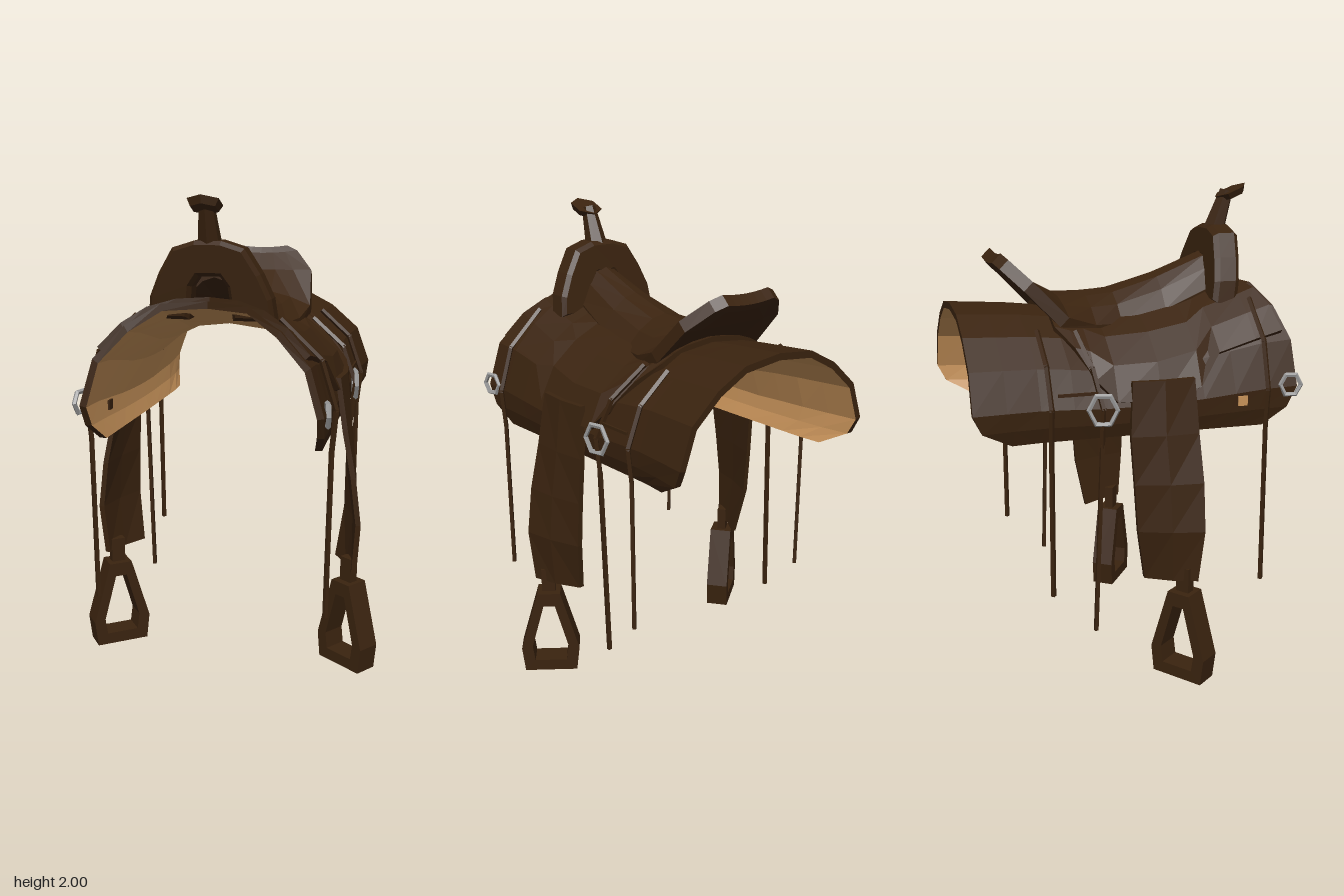
import * as THREE from 'three';

const leather = new THREE.MeshStandardMaterial({ color: 0x3a230f });
leather.name = 'darkLeather';
const lining = new THREE.MeshStandardMaterial({ color: 0xc8935a });
lining.name = 'tanLining';
const steel = new THREE.MeshStandardMaterial({ color: 0x9c9c9c });
steel.name = 'steel';

const lerp = THREE.MathUtils.lerp;
const V = (x, y, z) => new THREE.Vector3(x, y, z);

// Piecewise-linear lookup in [[key, value], ...]
function table(rows, k) {
  if (k <= rows[0][0]) return rows[0][1];
  for (let i = 1; i < rows.length; i++) {
    const [a, b] = [rows[i - 1], rows[i]];
    if (k <= b[0]) return lerp(a[1], b[1], (k - a[0]) / (b[0] - a[0]));
  }
  return rows[rows.length - 1][1];
}
const pick = (list, s) => table(list.map((v, i) => [i, v]), Math.abs(s));

function mesh(name, geo, mat) {
  const flat = geo.index ? geo.toNonIndexed() : geo;
  flat.computeVertexNormals();
  const m = new THREE.Mesh(flat, mat);
  m.name = name;
  return m;
}

// Closed sheet with thickness: f(i, j, layer) gives points, layer 0 outside, 1 inside
function shell(name, nu, nv, f, mats) {
  const pos = [];
  const quad = (a, b, c, d) => [a, b, c, a, c, d].forEach((p) => pos.push(p.x, p.y, p.z));
  const face = (k) => {
    for (let i = 0; i < nu; i++) for (let j = 0; j < nv; j++) {
      const q = [f(i, j, k), f(i, j + 1, k), f(i + 1, j + 1, k), f(i + 1, j, k)];
      if (k) q.reverse();
      quad(...q);
    }
  };
  const rim = (i, j, m, n) => quad(f(m, n, 0), f(i, j, 0), f(i, j, 1), f(m, n, 1));
  face(0);
  for (let j = 0; j < nv; j++) { rim(0, j, 0, j + 1); rim(nu, j + 1, nu, j); }
  for (let i = 0; i < nu; i++) { rim(i, nv, i + 1, nv); rim(i + 1, 0, i, 0); }
  const split = pos.length / 3;
  face(1);
  const g = new THREE.BufferGeometry();
  g.setAttribute('position', new THREE.Float32BufferAttribute(pos, 3));
  if (Array.isArray(mats)) {
    g.addGroup(0, split, 0);
    g.addGroup(split, pos.length / 3 - split, 1);
  }
  return mesh(name, g, mats);
}

// Saddle-back surface: s runs from the ridge (0) to the skirt hem (6)
const PX = [0, 0.17, 0.30, 0.42, 0.475, 0.47, 0.45];
const PH = [1, 0.96, 0.82, 0.6, 0.28, 0.13, 0];
const NX = [0, 0.2, 0.5, 0.8, 0.98, 1, 1];
const FRONT = [0.53, 0.58, 0.63, 0.66, 0.67, 0.63, 0.53];
const BACK = [-0.675, -0.675, -0.675, -0.675, -0.675, -0.64, -0.52];
const RIDGE = [[-0.68, 1.54], [-0.35, 1.52], [-0.1, 1.475], [0.2, 1.5], [0.45, 1.58], [0.58, 1.62]];
function surface(s, z, off = 0) {
  const n = pick(NX, s);
  const flare = table([[-0.65, 1.04], [-0.45, 0.98], [0, 0.98], [0.6, 1]], z);
  const x = pick(PX, s) * flare + n * off;
  const y = lerp(1.045, table(RIDGE, z), pick(PH, s)) + Math.sqrt(1 - n * n) * off;
  return V(Math.sign(s) * x, y, z);
}

// Strap of square rods through a list of points
function cord(name, pts, r = 0.011) {
  const g = new THREE.Group();
  g.name = name;
  for (let i = 1; i < pts.length; i++) {
    const d = pts[i].clone().sub(pts[i - 1]);
    const m = mesh(name + 'Piece', new THREE.CylinderGeometry(r, r, d.length() + r, 4), leather);
    m.position.copy(pts[i]).add(pts[i - 1]).multiplyScalar(0.5);
    m.quaternion.setFromUnitVectors(V(0, 1, 0), d.normalize());
    g.add(m);
  }
  return g;
}

const poly = (pts) => pts.map(([x, y]) => new THREE.Vector2(x, y));

function buildSide() {
  const side = new THREE.Group();

  // Fender, twisting outwards as it hangs: y, front z, rear z, front x, rear x
  const rows = [[1.27, 0.22, -0.04, 0.475, 0.475], [1.05, 0.23, -0.05, 0.51, 0.49],
    [0.85, 0.24, -0.035, 0.55, 0.495], [0.65, 0.24, -0.02, 0.575, 0.495], [0.43, 0.22, 0.02, 0.56, 0.465]];
  side.add(shell('fender', 2, rows.length - 1, (i, j, k) => {
    const [y, zf, zr, xf, xr] = rows[j];
    return V(lerp(xf, xr, i / 2) + (i === 1 ? 0.012 : 0) - k * 0.022, y, lerp(zf, zr, i / 2));
  }, leather));

  // Stirrup and its hanger
  const stirrup = new THREE.Group();
  stirrup.name = 'stirrup';
  const outline = new THREE.Shape(poly([[-0.115, 0], [0.115, 0], [0.128, 0.11], [0.05, 0.38], [-0.05, 0.38], [-0.128, 0.11]]));
  outline.holes.push(new THREE.Path(poly([[-0.07, 0.05], [-0.08, 0.12], [-0.025, 0.32], [0.025, 0.32], [0.08, 0.12], [0.07, 0.05]])));
  const frame = new THREE.ExtrudeGeometry(outline, { depth: 0.1, bevelEnabled: false });
  frame.translate(0, 0, -0.05);
  const hanger = mesh('stirrupHanger', new THREE.BoxGeometry(0.06, 0.17, 0.04), leather);
  hanger.position.set(0, 0.4, 0);
  stirrup.add(mesh('stirrupFrame', frame, leather), hanger);
  stirrup.position.set(0.522, 0, 0.175);
  stirrup.rotation.y = -0.644;
  side.add(stirrup);

  // Hanging strings
  const drape = (z0, z1, s0) => [s0, 3, 4].map((s, i) => surface(s, lerp(z0, z1, i / 2), 0.026));
  side.add(cord('frontString', [...drape(0.53, 0.53, 1.8), V(0.485, 1.04, 0.53), V(0.475, 0.37, 0.54)]));
  side.add(cord('middleString', [...drape(-0.22, -0.165, 1.9), V(0.475, 1.02, -0.165), V(0.465, 0.23, -0.19)]));
  side.add(cord('rearString', [...drape(-0.38, -0.37, 2), V(0.475, 1.04, -0.37), V(0.47, 0.41, -0.37)]));

  // Rigging strip and steel rings
  const strip = mesh('riggingStrip', new THREE.BoxGeometry(0.008, 0.012, 0.16), leather);
  strip.position.set(0.472, 1.235, -0.26);
  side.add(strip);
  [['frontRing', 0.482, 1.215, 0.637, 0.042, 1.1], ['rearRing', 0.49, 1.17, -0.165, 0.056, 1.15]].forEach(([name, x, y, z, r, tall]) => {
    const ring = mesh(name, new THREE.TorusGeometry(r, 0.01, 5, 6), steel);
    ring.position.set(x, y, z);
    ring.rotation.set(0, Math.PI / 2 + 0.25, 0);
    ring.scale.y = tall;
    side.add(ring);
  });
  return side;
}

export function createModel() {
  const model = new THREE.Group();
  model.name = 'saddle';

  // Skirt with tan lining
  model.add(shell('skirt', 12, 10, (i, j, k) => {
    const s = i - 6;
    return surface(s, lerp(pick(BACK, s), pick(FRONT, s), j / 10), -0.028 * k);
  }, [leather, lining]));

  // Seat jockey lying over the skirt: z, lower edge
  const edge = [[-0.3, 1.7], [-0.24, 2.4], [-0.18, 3.3], [-0.1, 3.85], [0.08, 3.9], [0.25, 3.7], [0.34, 3.0], [0.5, 2.9], [0.63, 2.8]];
  model.add(shell('seatJockey', 8, edge.length - 1, (i, j, k) => {
    const [z, reach] = edge[j];
    const s = (i / 4 - 1) * reach;
    return surface(s, Math.min(z, pick(FRONT, s) - 0.03), k ? -0.005 : 0.022);
  }, leather));

  // Seat rising into the cantle: z, half width, centre y, edge y
  const seat = [[-0.48, 0.12, 1.735, 1.745], [-0.46, 0.17, 1.71, 1.725], [-0.38, 0.25, 1.64, 1.645], [-0.24, 0.27, 1.565, 1.5],
    [-0.12, 0.245, 1.568, 1.46], [0, 0.21, 1.578, 1.455], [0.2, 0.18, 1.635, 1.5], [0.42, 0.14, 1.72, 1.58]];
  model.add(shell('seat', 6, seat.length - 1, (i, j, k) => {
    const [z, w, yc, ye] = seat[j];
    const u = i / 3 - 1;
    return V(u * w, lerp(yc, ye, u * u) - 0.036 * k, z - (z < -0.2 ? 0.036 * k : 0));
  }, leather));

  // Arched fork, leaning forward
  const half = [[0.235, 1.54], [0.225, 1.61], [0.185, 1.7], [0.13, 1.79], [0.05, 1.815]];
  const arch = [[0.05, 1.71], [0.085, 1.66], [0.1, 1.54]];
  const mirror = (pts) => pts.map(([x, y]) => [-x, y]).reverse();
  const forkShape = new THREE.Shape(poly([...half, ...mirror(half), ...mirror(arch), ...arch]));
  const fork = new THREE.ExtrudeGeometry(forkShape, { depth: 0.07, bevelThickness: 0.02, bevelSize: 0.015, bevelSegments: 1 });
  const fp = fork.attributes.position;
  for (let i = 0; i < fp.count; i++) fp.setZ(i, fp.getZ(i) + 0.415 + (fp.getY(i) - 1.6) * 0.15);
  model.add(mesh('fork', fork, leather));

  // Horn: neck and tilted cap
  const neck = mesh('hornNeck', new THREE.CylinderGeometry(0.03, 0.05, 0.19, 6), leather);
  neck.position.set(0, 1.88, 0.505);
  neck.rotation.x = 0.32;
  const cap = mesh('hornCap', new THREE.CylinderGeometry(0.07, 0.055, 0.028, 6), leather);
  cap.position.set(0, 1.96, 0.557);
  cap.rotation.x = -0.4;
  cap.scale.z = 1.05;
  model.add(neck, cap);

  // Mirrored hanging parts
  [['leftSide', 1], ['rightSide', -1]].forEach(([name, sx]) => {
    const side = buildSide();
    side.name = name;
    side.scale.x = sx;
    model.add(side);
  });

  // Small cut-out on one skirt: tan outside, dark inside
  [['skirtPatch', -0.475, lining], ['skirtRivet', -0.438, leather]].forEach(([name, x, mat]) => {
    const plate = mesh(name, new THREE.BoxGeometry(0.008, 0.04, 0.04), mat);
    plate.position.set(x, 1.16, 0.43);
    model.add(plate);
  });
  return model;
}
